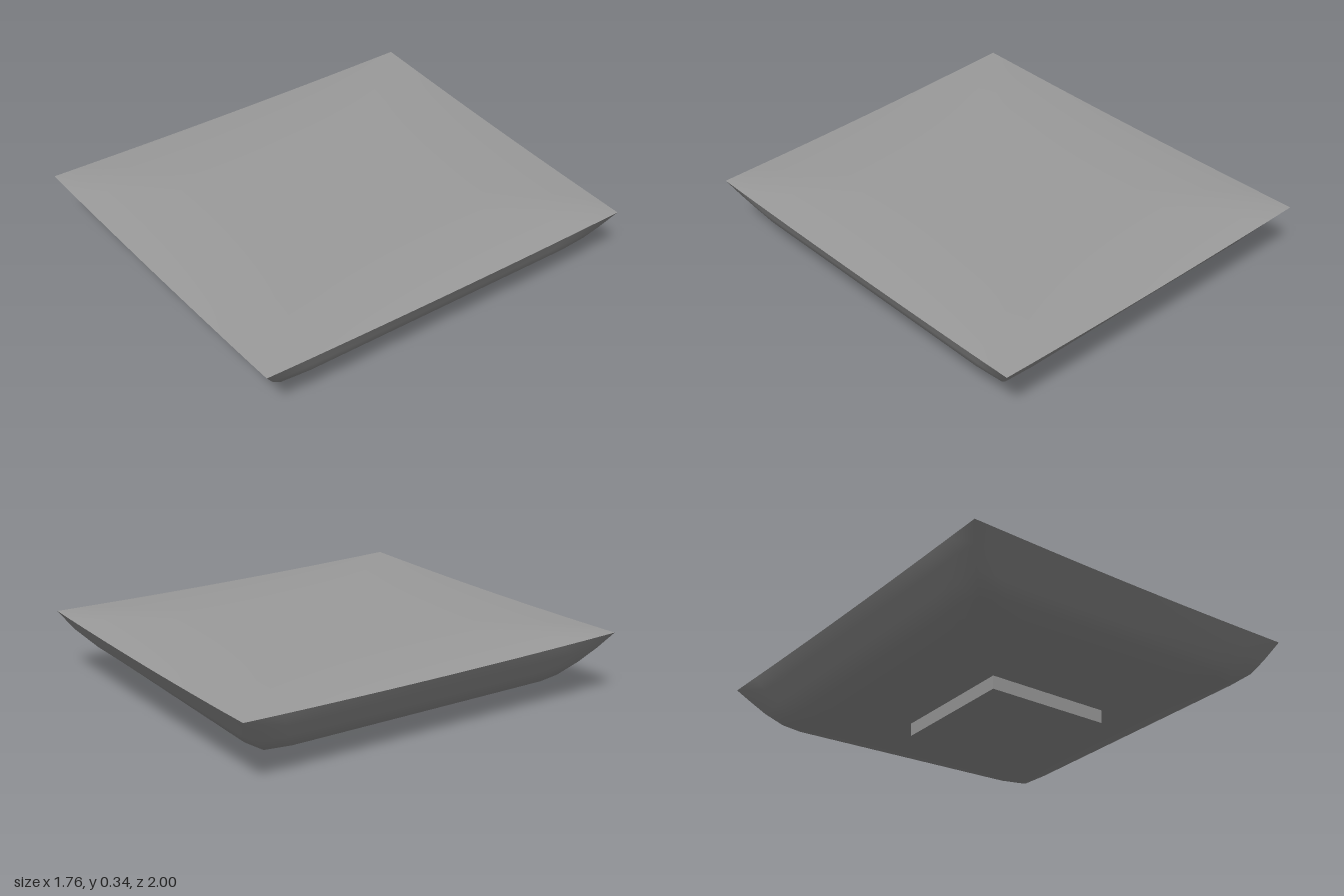
import * as THREE from 'three';

const SIDES = 64;
const material = new THREE.MeshStandardMaterial({ color: 0x9c9c9c });

// Point on a rounded square of half-size 1; a larger n gives sharper corners
function squarePoint(j, n) {
  const a = (j / SIDES) * Math.PI * 2;
  let u = Math.cos(a), v = Math.sin(a);
  const m = Math.max(Math.abs(u), Math.abs(v));
  u /= m; v /= m;
  const r = Math.pow(Math.abs(u) ** n + Math.abs(v) ** n, 1 / n);
  return [u / r, v / r];
}

// Skin a list of rings from the rim inwards
function loft(name, rings, facesUp) {
  const positions = [], index = [];
  rings.forEach((ring) => {
    const { left, right, depth, n, height } = ring;
    for (let j = 0; j < SIDES; j++) {
      const [u, v] = squarePoint(j, n);
      const x = (right + left) / 2 + ((right - left) / 2) * u;
      // the slab is slightly shallower on the +x side
      const z = depth * v * (1 - 0.0188 * (1 + x / 0.88));
      positions.push(x, height(u, v), z);
    }
  });
  for (let i = 0; i < rings.length - 1; i++) {
    for (let j = 0; j < SIDES; j++) {
      const k = (j + 1) % SIDES;
      const a = i * SIDES + j, b = i * SIDES + k;
      const c = a + SIDES, d = b + SIDES;
      if (facesUp) index.push(a, c, b, b, c, d);
      else index.push(a, b, c, b, d, c);
    }
  }
  const geometry = new THREE.BufferGeometry();
  geometry.setAttribute('position', new THREE.Float32BufferAttribute(positions, 3));
  geometry.setIndex(index);
  geometry.computeVertexNormals();
  const mesh = new THREE.Mesh(geometry, material);
  mesh.name = name;
  return mesh;
}

// The rim dips a little between its corners
const rimHeight = (u, v) => 0.326 - 0.01 * (1 - Math.min(u * u, v * v));

export function createModel() {
  const group = new THREE.Group();
  group.name = 'cushion';

  // Gently crowned top
  const topRings = [1, 0.93, 0.84, 0.72, 0.58, 0.4, 0.2, 0].map((s) => ({
    left: -0.88 * s, right: 0.88 * s, depth: s, n: 1000,
    height: (u, v) => THREE.MathUtils.lerp(0.338, rimHeight(u, v), s ** 4),
  }));
  group.add(loft('top', topRings, true));

  // Bowl-shaped underside: left x, right x, depth, corner sharpness, y at left, y at right
  const bowl = [
    [-0.845, 0.838, 0.945, 80, 0.255, 0.24],
    [-0.79, 0.81, 0.89, 50, 0.18, 0.185],
    [-0.74, 0.74, 0.835, 22, 0.112, 0.145],
    [-0.6, 0.57, 0.62, 10, 0.087, 0.09],
    [-0.42, 0.37, 0.41, 6, 0.065, 0.065],
    [0, 0, 0, 6, 0.063, 0.063],
  ].map(([left, right, depth, n, yl, yr]) => ({
    left, right, depth, n,
    height: (u) => THREE.MathUtils.lerp(yl, yr, (u + 1) / 2),
  }));
  const rim = { left: -0.88, right: 0.88, depth: 1, n: 1000, height: rimHeight };
  group.add(loft('underside', [rim, ...bowl], false));

  // Square base pad, let into the underside
  const pad = new THREE.Mesh(new THREE.BoxGeometry(0.625, 0.075, 0.655), material);
  pad.name = 'basePad';
  pad.position.set(0.022, 0.0375, 0);
  group.add(pad);

  return group;
}
